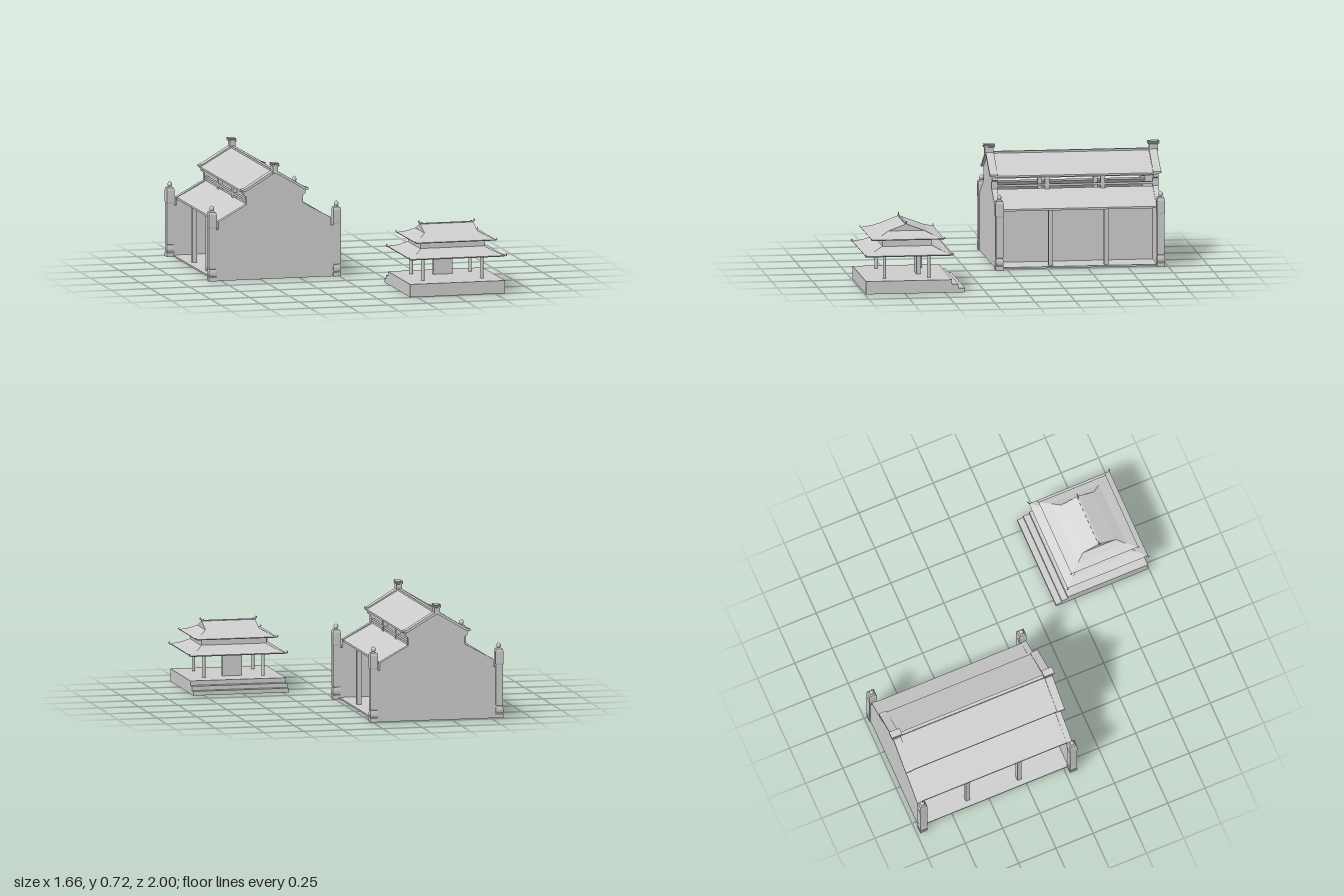
import * as THREE from 'three';

const mat = new THREE.MeshStandardMaterial({ color: 0xcccccc, flatShading: true, side: THREE.DoubleSide });
const smooth = new THREE.MeshStandardMaterial({ color: 0xcccccc });

function add(parent, name, geo, x = 0, y = 0, z = 0, m = mat) {
  const mesh = new THREE.Mesh(geo, m);
  mesh.name = name;
  mesh.position.set(x, y, z);
  parent.add(mesh);
  return mesh;
}

// Box given by its base height and size, centred on x and z
const box = (parent, name, x, y, z, w, h, d) =>
  add(parent, name, new THREE.BoxGeometry(w, h, d), x, y + h / 2, z);

// Outline in x/y pulled along z, centred on z
function prism(points, depth) {
  const shape = new THREE.Shape(points.map(([x, y]) => new THREE.Vector2(x, y)));
  const geo = new THREE.ExtrudeGeometry(shape, { depth, bevelEnabled: false });
  return geo.translate(0, 0, -depth / 2);
}

// Square turned post from [halfWidth, height] pairs
function squarePost(profile) {
  const pts = profile.map(([r, y]) => new THREE.Vector2(r * Math.SQRT2, y));
  return new THREE.LatheGeometry(pts, 4).rotateY(Math.PI / 4);
}

// Hipped shell from rectangular rings [halfX, halfZ, y]
function hipShell(rings) {
  const pos = [], idx = [];
  for (const [x, z, y] of rings) pos.push(-x, y, z, x, y, z, x, y, -z, -x, y, -z);
  for (let r = 0; r < rings.length - 1; r++) {
    for (let i = 0; i < 4; i++) {
      const a = r * 4 + i, b = r * 4 + (i + 1) % 4;
      idx.push(a, b, b + 4, a, b + 4, a + 4);
    }
  }
  const geo = new THREE.BufferGeometry();
  geo.setAttribute('position', new THREE.Float32BufferAttribute(pos, 3));
  geo.setIndex(idx);
  const flat = geo.toNonIndexed();
  flat.computeVertexNormals();
  return flat;
}

// Small upturned hook, pointing along +x
function hook(size) {
  const curve = new THREE.CatmullRomCurve3([[-1.2, 0.25], [0, 0], [0.8, 0.3], [0.9, 1], [0.3, 1.2]]
    .map(([x, y]) => new THREE.Vector3(x * size, y * size, 0)));
  return new THREE.TubeGeometry(curve, 10, size * 0.28, 6);
}

function createHall() {
  const hall = new THREE.Group();
  hall.name = 'hall';
  hall.position.set(-0.408, 0, -0.453);
  box(hall, 'floor', 0, 0, 0, 0.76, 0.01, 1.03);

  // Stepped gable walls with raised copings
  const half = [[0.38, 0], [0.38, 0.32], [0.36, 0.32], [0.36, 0.368], [0.18, 0.468],
    [0.18, 0.515], [0.195, 0.525], [0.195, 0.55]];
  const mirrored = half.map(([x, y]) => [-x, y]).reverse();
  const gable = prism([...half, [0, 0.665], ...mirrored], 0.035);
  const coping = prism([[0.212, 0.55], [0.212, 0.562], [0.19, 0.568], [0, 0.682],
    [-0.19, 0.568], [-0.212, 0.562], [-0.212, 0.55], [-0.19, 0.55], [0, 0.662], [0.19, 0.55]], 0.05);
  const pillar = squarePost([[0, 0], [0.025, 0], [0.025, 0.025], [0.021, 0.03], [0.024, 0.04],
    [0.025, 0.05], [0.023, 0.062], [0.02, 0.074], [0.023, 0.08], [0.023, 0.33], [0.025, 0.34],
    [0.025, 0.415], [0.02, 0.43], [0.01, 0.437], [0, 0.437]]);
  const finial = new THREE.LatheGeometry([[0, 0], [0.008, 0], [0.014, 0.01], [0.015, 0.018],
    [0.011, 0.026], [0.005, 0.031], [0, 0.036]].map(([r, y]) => new THREE.Vector2(r, y)), 12);
  const ridgePost = squarePost([[0.017, 0.66], [0.017, 0.702], [0.022, 0.705], [0.022, 0.712],
    [0.018, 0.714], [0.022, 0.718], [0.022, 0.722], [0, 0.722]]);
  ridgePost.scale(1, 1, 1.6);
  for (const e of [-1, 1]) {
    add(hall, 'gableWall', gable, 0, 0, e * 0.501);
    add(hall, 'gableCoping', coping, 0, 0, e * 0.508);
    add(hall, 'ridgePost', ridgePost, 0, 0, e * 0.511);
    for (const s of [-1, 1]) {
      add(hall, 'cornerPillar', pillar, s * 0.397, 0, e * 0.502);
      add(hall, 'pillarFinial', finial, s * 0.397, 0.435, e * 0.502, smooth);
    }
  }

  // Two-tier roof, open clerestory and columns on each side
  for (const s of [-1, 1]) {
    add(hall, 'lowerRoof', prism([[0.17, 0.466], [0.27, 0.413], [0.355, 0.368], [0.355, 0.356],
      [0.27, 0.401], [0.17, 0.454]].map(([x, y]) => [s * x, y]), 1.0));
    add(hall, 'upperRoof', prism([[0, 0.67], [0.206, 0.553], [0.206, 0.542], [0, 0.656]]
      .map(([x, y]) => [s * x, y]), 1.0));
    box(hall, 'clerestoryRail', s * 0.168, 0.48, 0, 0.018, 0.014, 1.0);
    box(hall, 'clerestoryBeam', s * 0.168, 0.533, 0, 0.018, 0.016, 1.0);
    for (const e of [-1, 1]) {
      box(hall, 'innerColumn', s * 0.165, 0.01, e * 0.173, 0.028, 0.53, 0.028);
      box(hall, 'outerColumn', s * 0.33, 0.01, e * 0.173, 0.028, 0.36, 0.028);
    }
  }
  box(hall, 'innerWall', 0.168, 0.01, 0, 0.012, 0.44, 1.0);
  box(hall, 'ridge', 0, 0.658, 0, 0.02, 0.018, 1.0);
  return hall;
}

function createPavilion() {
  const pavilion = new THREE.Group();
  pavilion.name = 'pavilion';
  pavilion.position.set(0.512, 0, 0.724);

  // Podium hollow from below, rear steps and standing slab
  add(pavilion, 'podium', hipShell([[0.303, 0.268, 0], [0.303, 0.268, 0.08], [0, 0, 0.08]]));
  box(pavilion, 'upperStep', 0, 0, -0.288, 0.606, 0.052, 0.04);
  box(pavilion, 'lowerStep', 0, 0, -0.328, 0.606, 0.026, 0.04);
  box(pavilion, 'standingSlab', 0, 0.08, -0.092, 0.122, 0.136, 0.025);

  const column = new THREE.CylinderGeometry(0.01, 0.01, 0.185, 12);
  for (const x of [-0.188, 0.188]) for (const z of [-0.138, 0.138]) {
    add(pavilion, 'column', column, x, 0.1725, z, smooth);
  }

  // Two flared roof tiers with a hollow drum between them
  add(pavilion, 'lowerRoof', hipShell([[0.298, 0.266, 0.229], [0.302, 0.27, 0.236],
    [0.25, 0.21, 0.255], [0.2, 0.15, 0.284]]));
  add(pavilion, 'drum', hipShell([[0.206, 0.153, 0.278], [0.206, 0.153, 0.332]]));
  add(pavilion, 'upperRoof', hipShell([[0.252, 0.221, 0.324], [0.256, 0.225, 0.33],
    [0.21, 0.16, 0.348], [0.17, 0.11, 0.371], [0.17, 0.003, 0.412]]));
  box(pavilion, 'ridge', 0, 0.404, 0, 0.34, 0.012, 0.012);

  // Upturned corner and ridge hooks
  for (const sx of [-1, 1]) {
    for (const sz of [-1, 1]) {
      const angle = Math.atan2(-sz, sx);
      add(pavilion, 'lowerCornerHook', hook(0.011), sx * 0.304, 0.234, sz * 0.267).rotation.y = angle;
      add(pavilion, 'upperCornerHook', hook(0.009), sx * 0.255, 0.328, sz * 0.223).rotation.y = angle;
    }
    add(pavilion, 'ridgeHook', hook(0.011), sx * 0.168, 0.417, 0).rotation.y = sx > 0 ? 0 : Math.PI;
  }
  return pavilion;
}

export function createModel() {
  const model = new THREE.Group();
  model.name = 'templeCompound';
  model.add(createHall(), createPavilion());
  return model;
}
